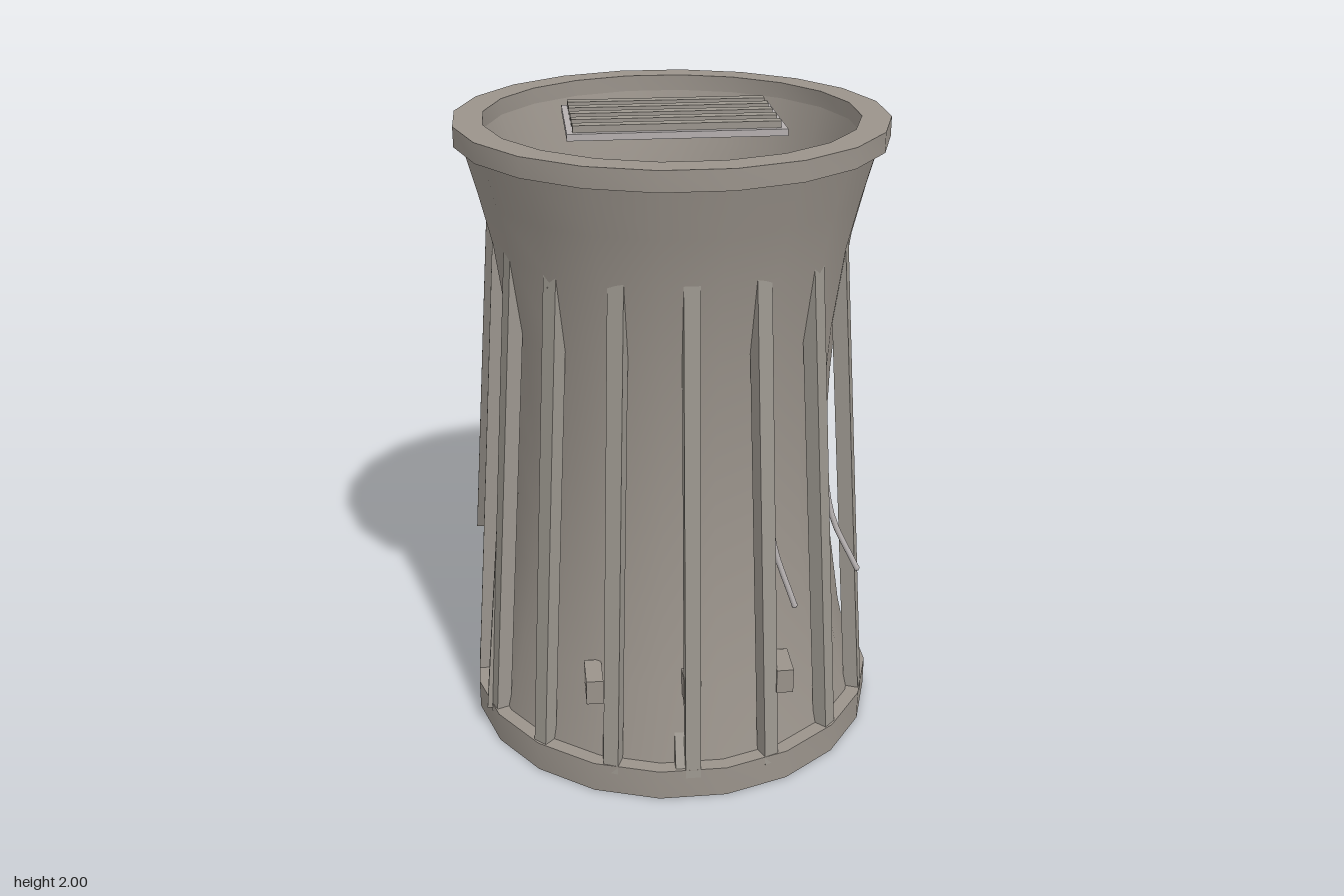
import * as THREE from 'three';
import { toCreasedNormals } from 'three/addons/utils/BufferGeometryUtils.js';

const material = (name, color) => {
  const m = new THREE.MeshStandardMaterial({ color });
  m.name = name;
  return m;
};
const V = (x, y, z) => new THREE.Vector3(x, y, z);

export function createModel() {
  const concrete = material('concrete', 0x9a938b);
  const beam = material('beam grey', 0x9b968e);
  const metal = material('light metal', 0xb5b0b0);

  const model = new THREE.Group();
  model.name = 'coolingTower';
  const tower = new THREE.Group();
  tower.name = 'tower';
  tower.position.z = 0.056;
  model.add(tower);

  const add = (parent, name, geometry, mat) => {
    const mesh = new THREE.Mesh(geometry, mat);
    mesh.name = name;
    parent.add(mesh);
    return mesh;
  };

  // Lathe with 20 sides, flats facing the axes; the given radii are to the flats
  const SIDES = 20;
  const turned = (name, points) => {
    const k = 1 / Math.cos(Math.PI / SIDES);
    const pts = points.map(([r, y]) => new THREE.Vector2(r * k, y));
    const g = new THREE.LatheGeometry(pts, SIDES, Math.PI / SIDES);
    return add(tower, name, toCreasedNormals(g, 0.5), concrete);
  };

  // Waisted shell, open at the top, with a wall of even thickness
  const outer = [
    [0.615, 0.1], [0.56, 0.34], [0.522, 0.6], [0.503, 0.8], [0.495, 1.0],
    [0.499, 1.18], [0.512, 1.38], [0.545, 1.63], [0.58, 1.78], [0.622, 1.94],
  ];
  const inner = outer.map(([r, y]) => [r - 0.064, y]).reverse();
  turned('shell', [...outer, ...inner]);
  turned('base', [[0, 0], [0.66, 0], [0.66, 0.1], [0, 0.1]]);
  turned('rim', [[0.558, 1.93], [0.645, 1.93], [0.645, 1.99], [0.558, 1.99], [0.558, 1.93]]);

  // Square beam between two points, with one side turned towards "facing"
  const strut = (parent, name, a, b, facing, w = 0.048) => {
    const y = b.clone().sub(a);
    const length = y.length();
    y.normalize();
    const x = y.clone().cross(facing).normalize();
    const z = x.clone().cross(y);
    const mesh = add(parent, name, new THREE.BoxGeometry(w, length, w), beam);
    mesh.quaternion.setFromRotationMatrix(new THREE.Matrix4().makeBasis(x, y, z));
    mesh.position.copy(a).add(b).multiplyScalar(0.5);
  };

  // Nine leaning struts around the front half
  for (let i = 0; i <= 8; i++) {
    const t = (i * Math.PI) / 8;
    const out = V(Math.cos(t), 0, Math.sin(t));
    const low = out.clone().multiplyScalar(0.638).setY(0.07);
    const high = out.clone().multiplyScalar(0.522).setY(1.64);
    strut(tower, 'strut', low, high, out);
  }

  // Fallen struts: one leaning outside, the others crossing the inside
  const front = V(0, 0, 1);
  const fallen = [
    [V(-0.645, 0.25, -0.705), V(-0.54, 1.66, -0.09)],
    [V(-0.03, 0.08, 0.69), V(0, 1.5, -0.16)],
    [V(-0.25, 0.08, 0.64), V(-0.2, 1.28, -0.36)],
    [V(-0.47, 0.16, -0.3), V(-0.37, 1.6, 0.42)],
    [V(-0.61, 0.08, 0.27), V(-0.47, 1.61, 0.21)],
  ];
  for (const [a, b] of fallen) strut(model, 'fallenStrut', a, b, front);

  // Small blocks low on the front
  for (const x of [-0.295, 0, 0.29]) {
    const block = add(model, 'block', new THREE.BoxGeometry(0.052, 0.08, 0.12), concrete);
    block.position.set(x, 0.36, x ? 0.59 : 0.62);
  }

  // Thin bent rods
  const rods = [
    [V(0.235, 1.0, 0.56), V(0.255, 0.8, 0.567), V(0.32, 0.6, 0.6)],
    [V(0.43, 1.0, 0.4), V(0.465, 0.8, 0.42), V(0.54, 0.64, 0.465)],
  ];
  for (const pts of rods) {
    const curve = new THREE.CatmullRomCurve3(pts);
    add(model, 'bentRod', new THREE.TubeGeometry(curve, 8, 0.01, 6), metal);
    // Closed ends
    for (const p of [pts[0], pts[2]]) {
      add(model, 'rodEnd', new THREE.SphereGeometry(0.01, 6, 4), metal).position.copy(p);
    }
  }

  // Grille at the mouth: a plate with five raised slats
  const grille = new THREE.Group();
  grille.name = 'grille';
  grille.position.set(0, 1.97, 0.055);
  model.add(grille);
  add(grille, 'grillePlate', new THREE.BoxGeometry(0.64, 0.02, 0.38), metal);
  for (let i = -2; i <= 2; i++) {
    const slat = add(grille, 'grilleSlat', new THREE.BoxGeometry(0.605, 0.024, 0.036), beam);
    slat.position.set(0, 0.018, i * 0.077);
  }

  return model;
}
